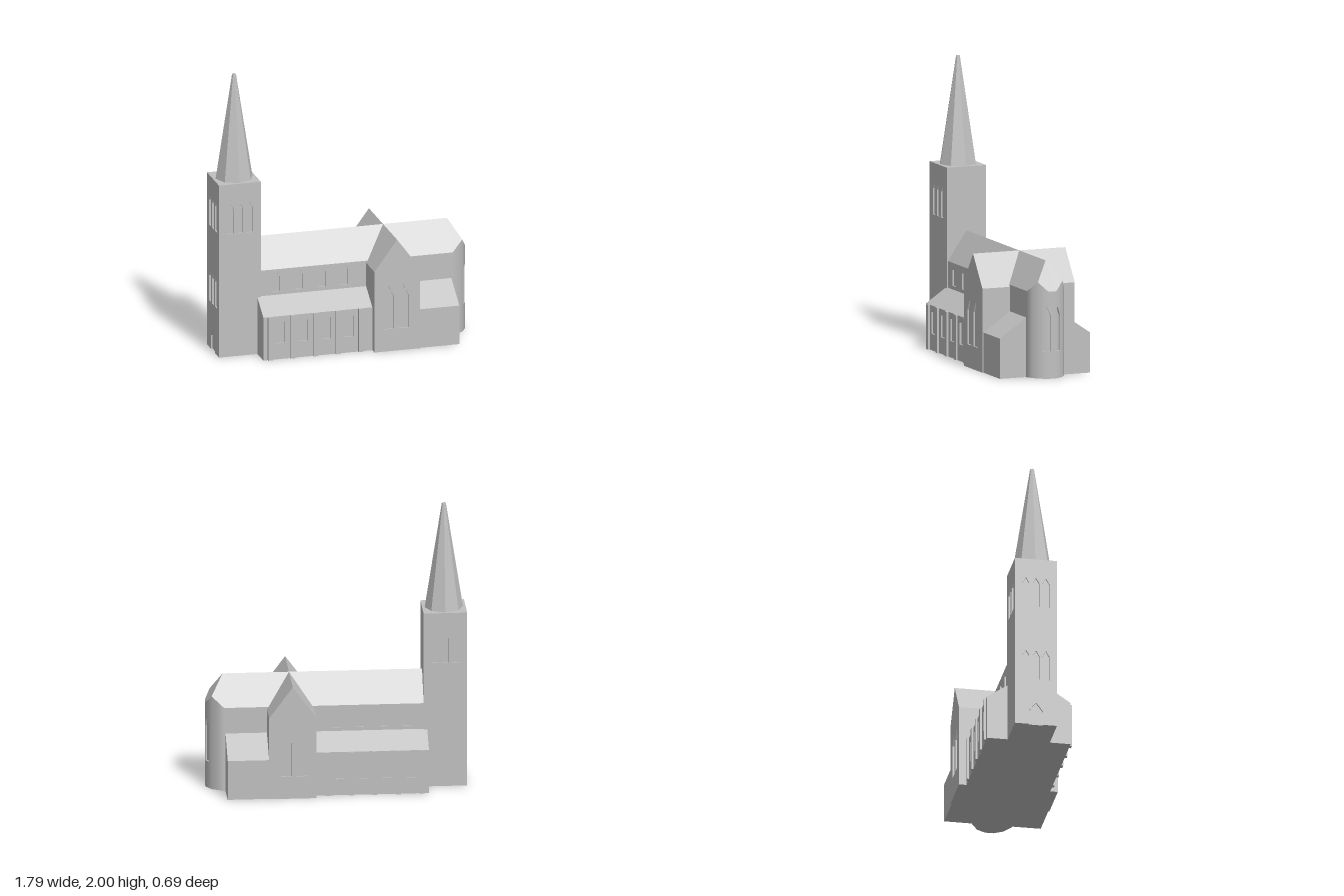
import * as THREE from 'three';

const stone = new THREE.MeshStandardMaterial({ color: 0xc0c0c0 });
stone.name = 'pale stone';
const D = 0.012; // depth of window recesses

export function createModel() {
  const root = new THREE.Group();
  root.name = 'church';

  const add = (name, geo, x = 0, y = 0, z = 0, ry = 0) => {
    const m = new THREE.Mesh(geo, stone);
    m.name = name;
    m.position.set(x, y, z);
    m.rotation.y = ry;
    root.add(m);
    return m;
  };
  const box = (name, x0, x1, y0, y1, z0, z1) =>
    add(name, new THREE.BoxGeometry(x1 - x0, y1 - y0, z1 - z0), (x0 + x1) / 2, (y0 + y1) / 2, (z0 + z1) / 2);
  const polygon = pts => new THREE.Shape(pts.map(p => new THREE.Vector2(...p)));
  const extrude = (shape, depth) => new THREE.ExtrudeGeometry(shape, { depth, bevelEnabled: false });
  const rect = (x0, x1, h) => [[x0, 0], [x1, 0], [x1, h], [x0, h]];

  // Pointed window outline: centre, width, sill, shoulder, peak
  const lancet = (c, w, y0, y1, y2) =>
    [[c - w / 2, y0], [c + w / 2, y0], [c + w / 2, y1], [c, y2], [c - w / 2, y1]];
  // Outer wall skin pierced by windows
  const skin = (outline, windows) => {
    const s = polygon(outline);
    windows.forEach(w => s.holes.push(new THREE.Path(w.map(p => new THREE.Vector2(...p)))));
    return extrude(s, D);
  };
  // Same skin on the front and the back, outer face at z = +-w
  const skinPair = (name, outline, windows, w) => {
    add(name + 'Front', skin(outline, windows), 0, 0, w - D);
    add(name + 'Back', skin(outline, windows), 0, 0, -w);
  };
  // Prism along x from a (z, y) profile
  const prismX = (name, pts, x0, x1) =>
    add(name, extrude(polygon(pts.map(([z, y]) => [-z, y])), x1 - x0), x0, 0, 0, Math.PI / 2);

  // Tower with belfry windows, west windows and door
  const T = 0.147;
  box('towerCore', -0.9 + D, -0.6, 0, 1.25, -T + D, T - D);
  const triple = (c, y) => [-0.07, 0, 0.07].map(o => lancet(c + o, 0.046, y, y + 0.18, y + 0.22));
  skinPair('towerWall', rect(-0.9, -0.6, 1.25), triple(-0.75, 0.89), T);
  // the door opening reaches the ground, so it is part of the outline
  const west = [[-T + D, 0], [-0.05, 0], [-0.05, 0.1], [0, 0.165], [0.05, 0.1], [0.05, 0],
    [T - D, 0], [T - D, 1.25], [-T + D, 1.25]];
  add('towerWestWall', skin(west, [...triple(0, 0.89), ...triple(0, 0.34)]), -0.9 + D, 0, 0, -Math.PI / 2);

  // Octagonal spire
  add('spire', new THREE.CylinderGeometry(0.014, 0.132, 0.75, 8).toNonIndexed(), -0.75, 1.625, 0)
    .geometry.computeVertexNormals();

  // Nave with clerestory
  const N = 0.14, E = 0.6, R = 0.805, X = 0.775;
  prismX('nave', [[-N + D, 0], [N - D, 0], [N - D, E - 0.005], [N, E - 0.005], [N, E], [0, R],
    [-N, E], [-N, E - 0.005], [-N + D, E - 0.005]], -0.6, X);
  skinPair('naveWall', rect(-0.6, X, E - 0.005),
    [-0.49, -0.327, -0.163, 0].map(c => lancet(c, 0.054, 0.44, 0.55, 0.588)), N);

  // Transept with gable windows
  const Z = 0.345;
  const gable = [[0.155, 0], [0.48, 0], [0.48, 0.585], [0.317, R], [0.155, 0.585]];
  add('transept', extrude(polygon(gable), 2 * (Z - D)), 0, 0, -Z + D);
  skinPair('transeptGable', gable, [0.255, 0.361].map(c => lancet(c, 0.074, 0.16, 0.4, 0.474)), Z);

  // Aisles, buttresses and side chapels
  const A = 0.292;
  for (const s of [1, -1]) {
    const side = s > 0 ? 'Front' : 'Back';
    prismX('aisle' + side, [[0.1, 0], [A - D, 0], [A - D, 0.308], [A, 0.308], [A, 0.312], [N, 0.415], [0.1, 0.415]]
      .map(([z, y]) => [z * s, y]), -0.625, 0.16);
    prismX('chapel' + side, [[0.1, 0], [0.337, 0], [0.337, 0.28], [N, 0.415], [0.1, 0.415]]
      .map(([z, y]) => [z * s, y]), 0.47, 0.765);
    for (let i = 0; i < 5; i++) {
      const x = -0.577 + i * 0.162;
      box('buttress' + side, x - 0.017, x + 0.017, 0, 0.312, s > 0 ? A - D : -0.306, s > 0 ? 0.306 : -A + D);
    }
  }
  skinPair('aisleWall', rect(-0.625, 0.155, 0.308),
    [-0.5, -0.336, -0.173, -0.01].map(c => lancet(c, 0.06, 0.115, 0.265, 0.304)), A);

  // Rounded apse: plan corners as (z, x, wall top)
  const plan = [[N, X, E], [0.092, 0.857, 0.67], [0.03, 0.895, 0.607]];
  const normal = z => [Math.sqrt(Math.max(0, 1 - (z / N) ** 2)), 0, z / N];
  const at = z => {
    const a = Math.abs(z);
    const i = a >= 0.092 ? 0 : 1;
    if (a <= 0.03) return { z, x: 0.895, top: 0.607 };
    const [p, q] = [plan[i], plan[i + 1]];
    const t = (a - p[0]) / (q[0] - p[0]);
    return { z, x: p[1] + t * (q[1] - p[1]), top: p[2] + t * (q[2] - p[2]) };
  };
  const outer = (p, y) => [p.x, y, p.z];
  const inner = (p, y) => {
    const n = normal(p.z);
    return [p.x - D * n[0], y, p.z - D * n[2]];
  };
  const faces = (polys, smooth) => {
    const pos = [];
    polys.forEach(p => {
      for (let i = 1; i < p.length - 1; i++) pos.push(...p[0], ...p[i], ...p[i + 1]);
    });
    const g = new THREE.BufferGeometry();
    g.setAttribute('position', new THREE.Float32BufferAttribute(pos, 3));
    if (smooth) {
      const nor = [];
      for (let i = 2; i < pos.length; i += 3) nor.push(...normal(pos[i]));
      g.setAttribute('normal', new THREE.Float32BufferAttribute(nor, 3));
    } else g.computeVertexNormals();
    return g;
  };

  const half = [N, 0.118, 0.092, 0.065, 0.04, 0.03, 0.015];
  const zs = [...half, ...half.map(z => -z).reverse()];
  const sill = 0.19;
  const arch = z => 0.5 - Math.abs(Math.abs(z) - 0.04) * 2.4;
  const wall = [], reveal = [], roof = [];
  for (let i = 0; i < zs.length - 1; i++) {
    const a = at(zs[i]), b = at(zs[i + 1]);
    const mid = Math.abs(a.z + b.z) / 2;
    reveal.push([[X, 0, 0], outer(b, 0), outer(a, 0)]); // underside
    if (mid < 0.015 || mid > 0.065) {
      wall.push([outer(a, 0), outer(b, 0), outer(b, b.top), outer(a, a.top)]);
      continue;
    }
    // wall column with a recessed window
    const ya = arch(a.z), yb = arch(b.z);
    wall.push([outer(a, 0), outer(b, 0), outer(b, sill), outer(a, sill)],
      [outer(a, ya), outer(b, yb), outer(b, b.top), outer(a, a.top)],
      [inner(a, sill), inner(b, sill), inner(b, yb), inner(a, ya)]);
    reveal.push([outer(a, sill), outer(b, sill), inner(b, sill), inner(a, sill)],
      [inner(a, ya), inner(b, yb), outer(b, yb), outer(a, ya)]);
    if (a.z === 0.065 || a.z === -0.015)
      reveal.push([outer(a, sill), inner(a, sill), inner(a, ya), outer(a, ya)]);
    if (b.z === 0.015 || b.z === -0.065)
      reveal.push([inner(b, sill), outer(b, sill), outer(b, yb), inner(b, yb)]);
  }
  // hipped apse roof fanning out from the ridge end
  const rim = [N, 0.092, 0.03, -0.03, -0.092, -N].map(z => outer(at(z), at(z).top));
  for (let i = 0; i < rim.length - 1; i++) roof.push([[X, R, 0], rim[i], rim[i + 1]]);
  add('apseWall', faces(wall, true));
  add('apseWindowReveals', faces(reveal));
  add('apseRoof', faces(roof));

  return root;
}
